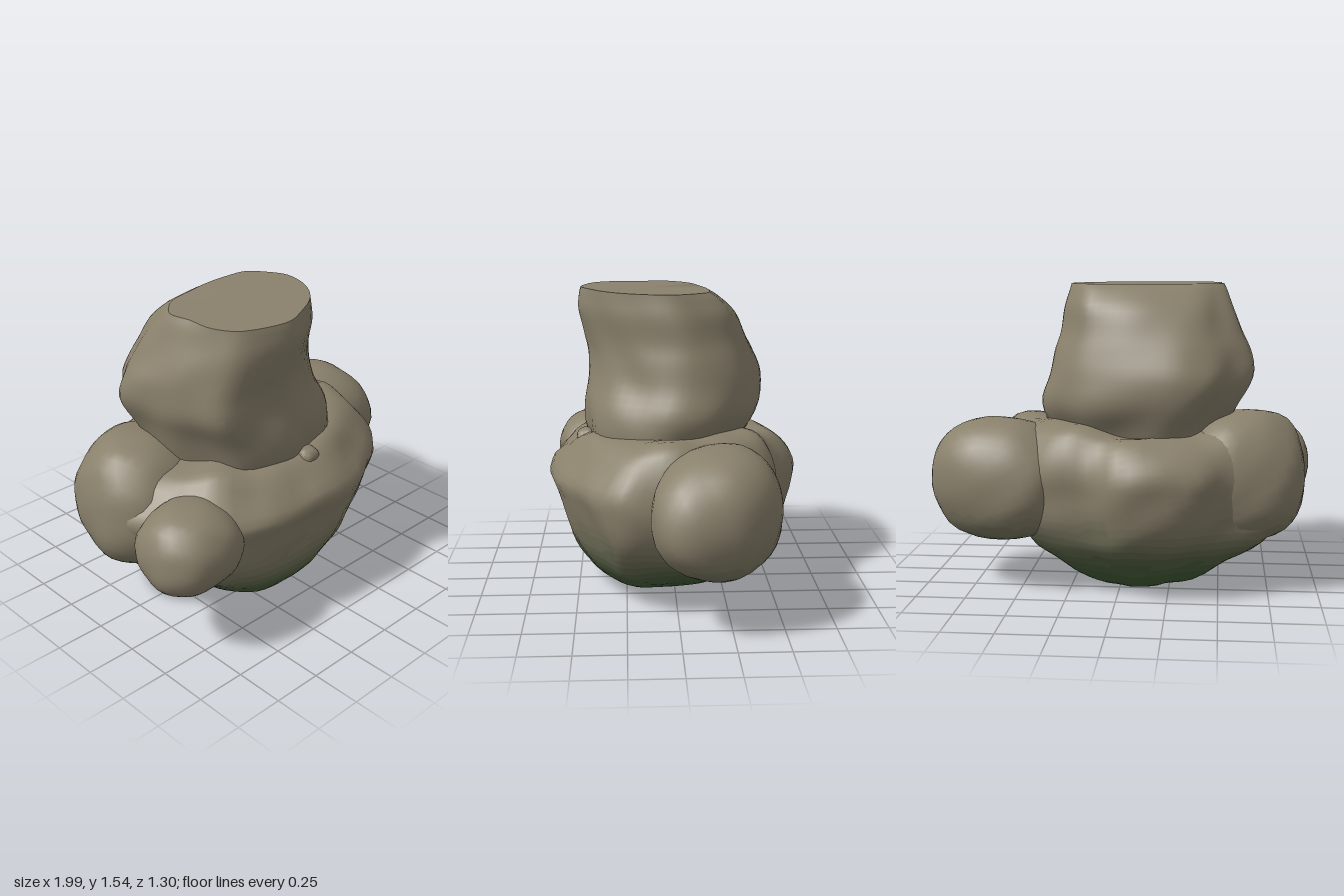
import * as THREE from 'three';
import { mergeVertices, toCreasedNormals } from 'three/addons/utils/BufferGeometryUtils.js';

// Stone fading to dark moss near the ground, in even height bands
const BANDS = 10;
const mossTop = 0.5;
const stone = new THREE.Color(0x8a816c);
const moss = new THREE.Color(0x3f5a34);

// Smooth, repeatable unevenness in roughly -1..1
function noise(x, y, z) {
  return (Math.sin(7 * x + 3 * z + 1) * Math.sin(8 * y - 2 * x + 0.5)
    + Math.sin(9 * z - 4 * y + 2) * Math.cos(8 * x + 5 * y)
    + 0.6 * Math.sin(17 * x + 9 * y) * Math.sin(16 * z - 11 * y + 1)) / 2;
}

// Sort the triangles by height so that each band gets its own colour
function rockMesh(name, source, crease) {
  const geo = toCreasedNormals(source, crease);
  const pos = geo.attributes.position;
  const lists = Array.from({ length: BANDS }, () => []);
  for (let i = 0; i < pos.count; i += 3) {
    const ys = [pos.getY(i), pos.getY(i + 1), pos.getY(i + 2)];
    const y = (Math.min(...ys) + Math.max(...ys)) / 2;
    const band = Math.floor(THREE.MathUtils.clamp(y / mossTop, 0, 0.999) * BANDS);
    lists[band].push(i, i + 1, i + 2);
  }
  geo.setIndex(lists.flat());
  geo.clearGroups();
  let start = 0;
  lists.forEach((list, band) => {
    if (list.length) geo.addGroup(start, list.length, band);
    start += list.length;
  });
  const materials = lists.map((_, band) => new THREE.MeshStandardMaterial({
    color: moss.clone().lerp(stone, THREE.MathUtils.smoothstep(band, 0.5, BANDS - 1)),
  }));
  const mesh = new THREE.Mesh(geo, materials);
  mesh.name = name;
  return mesh;
}

// Closed outline of [x, z] points, rescaled to -1..1 on both axes
function unitLoop(outline, sides) {
  const curve = new THREE.CatmullRomCurve3(outline.map(([x, z]) => new THREE.Vector3(x, 0, z)), true);
  const loop = curve.getPoints(sides).slice(0, sides);
  const box = new THREE.Box3().setFromPoints(loop);
  return loop.map((p) => new THREE.Vector2(
    THREE.MathUtils.mapLinear(p.x, box.min.x, box.max.x, -1, 1),
    THREE.MathUtils.mapLinear(p.z, box.min.z, box.max.z, -1, 1)));
}

// Rings: [y, left x, right x, back z, front z]; the outline blends from bottom to top
function loft(bottom, top, rings, rough, lift) {
  const sides = 64, steps = 27;
  const low = unitLoop(bottom, sides), high = unitLoop(top, sides);
  const spline = new THREE.CubicInterpolant(rings.map((_, i) => i), rings.flat(), 5);
  const pos = [];
  const index = [];
  for (let i = 0; i <= steps; i++) {
    const [y, x0, x1, z0, z1] = spline.evaluate((i / steps) * (rings.length - 1));
    const cx = (x0 + x1) / 2, cz = (z0 + z1) / 2;
    for (let j = 0; j < sides; j++) {
      const p = low[j].clone().lerp(high[j], i / steps);
      const dx = p.x * (x1 - x0) / 2, dz = p.y * (z1 - z0) / 2;
      const n = noise(cx + dx, y, cz + dz);
      pos.push(cx + dx * (1 + rough * n), y + lift(cx + dx, y, cz + dz), cz + dz * (1 + rough * n));
    }
  }
  for (let i = 0; i < steps; i++) {
    for (let j = 0; j < sides; j++) {
      const a = i * sides + j, b = i * sides + (j + 1) % sides;
      index.push(a, a + sides, b, b, a + sides, b + sides);
    }
  }
  // End caps
  for (const [row, ring] of [[0, rings[0]], [steps, rings[rings.length - 1]]]) {
    const centre = pos.length / 3;
    pos.push((ring[1] + ring[2]) / 2, ring[0], (ring[3] + ring[4]) / 2);
    for (let j = 0; j < sides; j++) {
      const a = row * sides + j, b = row * sides + (j + 1) % sides;
      if (row) index.push(centre, b, a);
      else index.push(centre, a, b);
    }
  }
  const geo = new THREE.BufferGeometry();
  geo.setAttribute('position', new THREE.Float32BufferAttribute(pos, 3));
  geo.setIndex(index);
  return geo;
}

// Rounded, slightly boxy boulder, optionally skewed along z
function boulder(name, centre, radii, rough, skew = 0) {
  let geo = new THREE.IcosahedronGeometry(1, 6);
  geo.deleteAttribute('uv');
  geo.deleteAttribute('normal');
  geo = mergeVertices(geo);
  const pos = geo.attributes.position;
  const v = new THREE.Vector3();
  const e = 2.15;
  for (let i = 0; i < pos.count; i++) {
    v.fromBufferAttribute(pos, i);
    const boxy = Math.pow(Math.abs(v.x) ** e + Math.abs(v.y) ** e + Math.abs(v.z) ** e, -1 / e);
    v.multiplyScalar(boxy * (1 + rough * noise(v.x * 0.4, v.y * 0.4, v.z * 0.4)));
    pos.setXYZ(i, centre[0] + v.x * radii[0], centre[1] + v.y * radii[1],
      centre[2] + (v.z + skew * v.x) * radii[2]);
  }
  return rockMesh(name, geo, Math.PI);
}

export function createModel() {
  const group = new THREE.Group();
  group.name = 'rockFormation';

  // Broad lumpy base with an uneven upper rim
  const baseOutline = [[0.69, 0.12], [0.67, 0.3], [0.48, 0.45], [0.18, 0.6], [-0.3, 0.64], [-0.6, 0.57],
    [-0.8, 0.38], [-0.88, 0.18], [-0.93, -0.05], [-0.9, -0.25], [-0.81, -0.4], [-0.55, -0.48],
    [-0.38, -0.6], [-0.08, -0.65], [0.12, -0.56], [0.33, -0.49], [0.55, -0.3], [0.65, -0.08]];
  const baseRings = [[0, -0.28, 0.13, -0.22, 0.18], [0.03, -0.42, 0.25, -0.33, 0.37],
    [0.13, -0.57, 0.43, -0.42, 0.47], [0.25, -0.75, 0.56, -0.54, 0.54], [0.38, -0.85, 0.66, -0.6, 0.57],
    [0.52, -0.9, 0.7, -0.63, 0.61], [0.62, -0.9, 0.69, -0.64, 0.64], [0.72, -0.82, 0.64, -0.59, 0.55],
    [0.8, -0.71, 0.56, -0.5, 0.46], [0.82, -0.6, 0.4, -0.38, 0.36]];
  const rim = (x, y, z) => {
    const right = Math.exp(-(((x - 0.45) / 0.2) ** 2) - (z / 0.3) ** 2);
    return THREE.MathUtils.smoothstep(y, 0.5, 0.8) * (0.05 * right + 0.02 * noise(x, y, z))
      + 0.03 * noise(x, 0.3, z) * THREE.MathUtils.smoothstep(y, 0.04, 0.2);
  };
  group.add(rockMesh('base', loft(baseOutline, baseOutline, baseRings, 0.045, rim), 1.2));

  // Broken-off column: two back hollows at the foot, flat top cut away at the back left
  const footOutline = [[0.43, 0.08], [0.34, 0.26], [0.19, 0.4], [-0.03, 0.45], [-0.2, 0.46], [-0.46, 0.4],
    [-0.54, 0.24], [-0.66, 0.06], [-0.64, -0.18], [-0.5, -0.32], [-0.42, -0.46], [-0.3, -0.51],
    [-0.1, -0.46], [0.1, -0.38], [0.24, -0.24], [0.38, -0.12]];
  const topOutline = [[0.28, 0.02], [0.22, 0.19], [0.13, 0.31], [-0.06, 0.43], [-0.2, 0.47], [-0.42, 0.42],
    [-0.5, 0.3], [-0.5, 0.15], [-0.52, 0.02], [-0.46, -0.06], [-0.37, -0.11], [-0.25, -0.14],
    [-0.1, -0.17], [0.04, -0.18], [0.17, -0.17], [0.25, -0.08]];
  const columnRings = [[0.7, -0.52, 0.36, -0.38, 0.4], [0.82, -0.56, 0.41, -0.44, 0.45],
    [0.95, -0.61, 0.43, -0.5, 0.46], [1.08, -0.67, 0.38, -0.5, 0.45], [1.2, -0.66, 0.35, -0.45, 0.45],
    [1.3, -0.62, 0.32, -0.4, 0.47], [1.42, -0.57, 0.31, -0.34, 0.49], [1.5, -0.54, 0.29, -0.25, 0.48],
    [1.54, -0.52, 0.28, -0.18, 0.47]];
  group.add(rockMesh('column', loft(footOutline, topOutline, columnRings, 0.045, () => 0), 0.5));

  // Boulders embedded in the base, and a pebble at the foot of the column
  group.add(boulder('shoulderBoulder', [-0.63, 0.575, -0.13], [0.325, 0.34, 0.33], 0.06, -0.1));
  group.add(boulder('largeBoulder', [0.63, 0.55, -0.19], [0.37, 0.32, 0.315], 0.05, 0.25));
  group.add(boulder('smallBoulder', [-0.75, 0.555, 0.4], [0.255, 0.215, 0.24], 0.05));
  group.add(boulder('pebble', [-0.01, 0.775, 0.455], [0.06, 0.05, 0.05], 0.1));
  return group;
}
